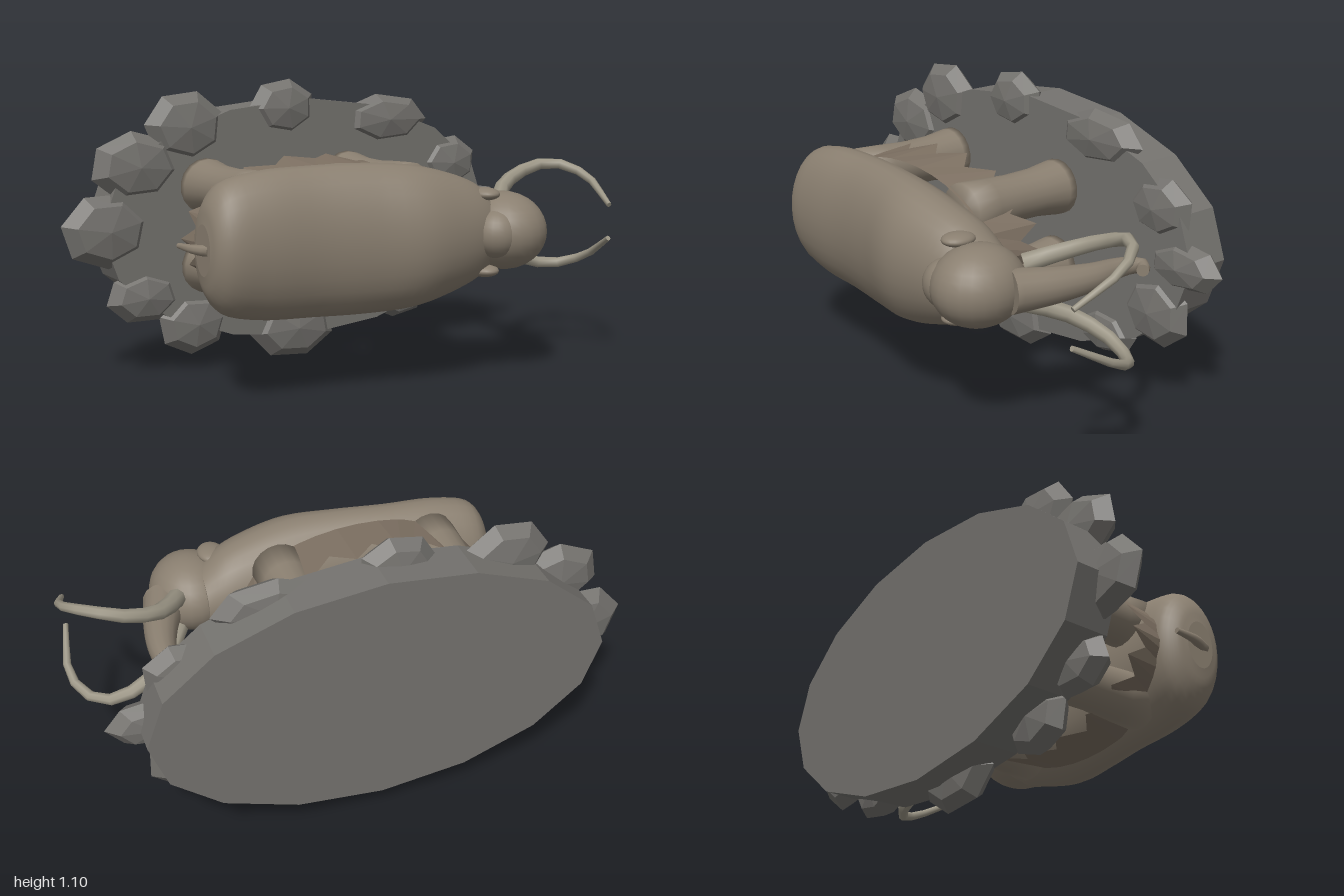
import * as THREE from 'three';

const CY = 0.565; // mirror plane of the animal
const V = (x, y, z) => new THREE.Vector3(x, y, z);
const material = (color, opts = {}) => new THREE.MeshStandardMaterial({ color, ...opts });
const hide = material(0x8a7f70);
const fur = material(0x7d7062, { flatShading: true, side: THREE.DoubleSide });
const ivory = material(0x9c9686);
const stone = material(0x74726e, { flatShading: true });

// Skin closed rings of equal length, with fan caps on both ends
function skin(rings) {
  const n = rings[0].length, m = rings.length, pos = [], idx = [];
  rings.forEach(r => r.forEach(p => pos.push(p.x, p.y, p.z)));
  for (let i = 0; i < m - 1; i++) {
    for (let j = 0; j < n; j++) {
      const k = (j + 1) % n;
      const a = i * n + j, b = i * n + k, c = a + n, d = b + n;
      idx.push(a, b, c, b, d, c);
    }
  }
  [0, m - 1].forEach(e => {
    const base = pos.length / 3, mid = V(0, 0, 0);
    rings[e].forEach(p => { mid.addScaledVector(p, 1 / n); pos.push(p.x, p.y, p.z); });
    pos.push(mid.x, mid.y, mid.z);
    for (let j = 0; j < n; j++) {
      const k = (j + 1) % n;
      if (e) idx.push(base + n, base + j, base + k);
      else idx.push(base + n, base + k, base + j);
    }
  });
  const g = new THREE.BufferGeometry();
  g.setAttribute('position', new THREE.Float32BufferAttribute(pos, 3));
  g.setIndex(idx);
  g.computeVertexNormals();
  return g;
}

// Tube through points, tapering from r0 to r1
function taper(points, r0, r1, steps, sides) {
  const curve = new THREE.CatmullRomCurve3(points);
  const { normals, binormals } = curve.computeFrenetFrames(steps);
  const rings = [];
  for (let i = 0; i <= steps; i++) {
    const c = curve.getPointAt(i / steps), r = r0 + (r1 - r0) * i / steps, ring = [];
    for (let j = 0; j < sides; j++) {
      const a = j / sides * Math.PI * 2;
      ring.push(c.clone().addScaledVector(normals[i], r * Math.cos(a))
        .addScaledVector(binormals[i], r * Math.sin(a)));
    }
    rings.push(ring);
  }
  return skin(rings);
}

export function createModel() {
  const model = new THREE.Group();
  const add = (name, geometry, mat, x = 0, y = 0, z = 0) => {
    const mesh = new THREE.Mesh(geometry, mat);
    mesh.name = name;
    mesh.position.set(x, y, z);
    model.add(mesh);
    return mesh;
  };
  const ball = (name, x, y, z, rx, ry, rz) =>
    add(name, new THREE.SphereGeometry(1, 24, 16), hide, x, y, z).scale.set(rx, ry, rz);

  // Oval plinth
  const plinth = new THREE.CylinderGeometry(1, 1, 0.175, 16).rotateX(Math.PI / 2);
  plinth.rotateZ(Math.PI / 2).scale(0.85, 0.47, 1);
  add('plinth', plinth, stone, -0.01, CY, -0.418);

  // Rocks around the rim: x, y, half width, half height
  [
    [-0.10, 1.00, 0.14, 0.11], [0.36, 0.94, 0.20, 0.10], [-0.51, 0.94, 0.16, 0.135],
    [-0.71, 0.80, 0.175, 0.13], [-0.83, 0.57, 0.17, 0.14], [-0.69, 0.31, 0.145, 0.10],
    [-0.49, 0.19, 0.14, 0.12], [-0.06, 0.13, 0.185, 0.125], [0.43, 0.21, 0.14, 0.09],
    [0.67, 0.36, 0.15, 0.135], [0.79, 0.56, 0.16, 0.09], [0.67, 0.75, 0.14, 0.11],
  ].forEach(([x, y, rx, ry], i) => {
    const g = new THREE.SphereGeometry(1, 7, 4).rotateX(Math.PI / 2).rotateZ(i * 1.3);
    add('rock', g.scale(rx * 1.03, ry * 1.03, 0.062), stone, x, y, -0.36);
  });

  // Body: x, half width in y, belly z, back z
  const stations = [
    [-0.695, 0.09, 0.14, 0.26], [-0.68, 0.16, 0.10, 0.30], [-0.63, 0.225, 0.06, 0.335],
    [-0.50, 0.26, 0.06, 0.35], [-0.30, 0.27, 0.07, 0.36], [-0.10, 0.272, 0.09, 0.395],
    [0.08, 0.26, 0.10, 0.44], [0.22, 0.23, 0.11, 0.435], [0.35, 0.185, 0.12, 0.41],
    [0.44, 0.12, 0.14, 0.37],
  ];
  const widths = new THREE.CatmullRomCurve3(stations.map(s => V(s[0], s[1], 0)));
  const heights = new THREE.CatmullRomCurve3(stations.map(s => V(s[0], s[2], s[3])));
  const bodyRings = [];
  for (let i = 0; i <= 36; i++) {
    const w = widths.getPoint(i / 36), h = heights.getPoint(i / 36), ring = [];
    for (let j = 0; j < 28; j++) {
      const a = j / 28 * Math.PI * 2;
      ring.push(V(w.x, CY + w.y * Math.cos(a), (h.y + h.z) / 2 + (h.z - h.y) / 2 * Math.sin(a)));
    }
    bodyRings.push(ring);
  }
  add('body', skin(bodyRings), hide);

  // Ragged fur skirt: a flared open band with alternating tips
  const teeth = 18;
  const skirt = new THREE.CylinderGeometry(1, 1, 1, teeth * 2, 1, true).rotateX(Math.PI / 2);
  const p = skirt.attributes.position;
  for (let i = 0; i < p.count; i++) {
    const top = p.getZ(i) > 0;
    const k = Math.round(Math.atan2(p.getY(i), p.getX(i)) / Math.PI * teeth);
    const tip = k % 2 === 0;
    const flare = top ? 1 : tip ? 1.06 : 1.02;
    const z = top ? 0.15 : tip ? -0.08 : 0.0;
    p.setXYZ(i, p.getX(i) * 0.475 * flare, p.getY(i) * 0.265 * flare, z);
  }
  skirt.computeVertexNormals();
  add('furSkirt', skirt, fur, -0.15, CY, 0);

  // Legs, waisted in the middle
  const legProfile = [[0, -0.335], [0.105, -0.335], [0.103, -0.30], [0.09, -0.20],
    [0.088, -0.08], [0.095, 0.03], [0.10, 0.14], [0, 0.14]].map(q => new THREE.Vector2(...q));
  const leg = new THREE.LatheGeometry(legProfile, 18).rotateX(Math.PI / 2);
  for (const x of [-0.44, 0.17]) {
    for (const s of [-1, 1]) add(x < 0 ? 'backLeg' : 'frontLeg', leg, hide, x, CY + s * 0.152, 0);
  }

  // Head, crown and ears
  ball('head', 0.468, CY, 0.32, 0.155, 0.145, 0.175);
  ball('crown', 0.39, CY, 0.39, 0.09, 0.09, 0.085);
  for (const s of [-1, 1]) ball('ear', 0.375, CY + s * 0.142, 0.33, 0.052, 0.024, 0.065);

  // Trunk hanging down and curling forward at the tip
  add('trunk', taper([V(0.58, CY, 0.28), V(0.635, CY, 0.12), V(0.66, CY, -0.02),
    V(0.655, CY, -0.14), V(0.665, CY, -0.21), V(0.695, CY, -0.24), V(0.73, CY, -0.205)],
  0.08, 0.022, 24, 14), hide);

  // Tusks sweeping down, out and back up
  for (const s of [-1, 1]) {
    const path = [[0.55, 0.07, 0.19], [0.64, 0.115, 0.07], [0.77, 0.17, 0.01],
      [0.90, 0.205, 0.04], [0.98, 0.165, 0.16], [0.95, 0.065, 0.35]];
    add(s > 0 ? 'upperTusk' : 'lowerTusk',
      taper(path.map(([x, y, z]) => V(x, CY + s * y, z)), 0.036, 0.01, 10, 8), ivory);
  }

  // Tail
  add('tail', taper([V(-0.68, CY, 0.23), V(-0.712, CY, 0.16), V(-0.722, CY, 0.06)],
    0.022, 0.01, 6, 8), hide);

  return model;
}
